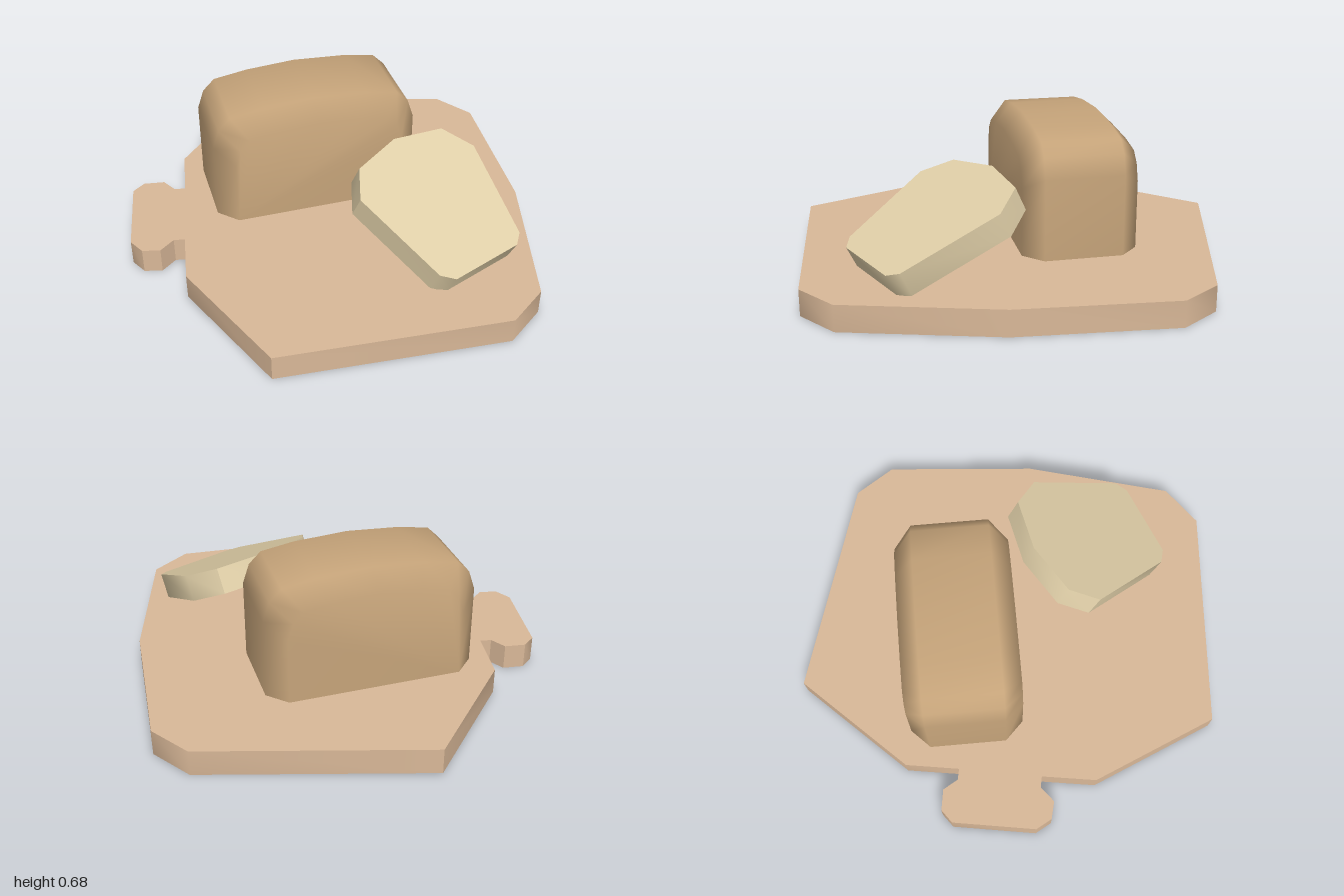
import * as THREE from 'three';
import { toCreasedNormals } from 'three/addons/utils/BufferGeometryUtils.js';

const BOARD_TOP = 0.12;

// Prism from a plan outline of [x, z] points, rising from y = 0 to y = height
function prism(outline, height) {
  const shape = new THREE.Shape(outline.map(([x, z]) => new THREE.Vector2(x, -z)));
  const geometry = new THREE.ExtrudeGeometry(shape, { depth: height, bevelEnabled: false });
  return geometry.rotateX(-Math.PI / 2);
}

function part(name, geometry, color) {
  const mesh = new THREE.Mesh(geometry, new THREE.MeshStandardMaterial({ color }));
  mesh.name = name;
  return mesh;
}

// Rough-cut board with a stubby grip on its right side
function boardGeometry() {
  const outline = [
    [-0.16, -1], [0.83, -0.7], [0.95, -0.52], [0.89, 0.19], [0.7, 0.87], [0.52, 1],
    [-0.51, 0.92], [-0.75, 0.34], [-0.71, 0.09], [-0.76, 0.08], [-0.83, 0.135],
    [-0.91, 0.115], [-0.95, 0.04], [-0.885, -0.34], [-0.825, -0.385], [-0.73, -0.37],
    [-0.69, -0.3], [-0.64, -0.29], [-0.6, -0.535],
  ];
  return toCreasedNormals(prism(outline, BOARD_TOP), Math.PI / 4);
}

// Domed loaf: one arched profile swept along z, drawn in at both ends
function loafGeometry() {
  const midX = -0.045;
  const profile = [
    [-0.525, 0.12], [-0.525, 0.49], [-0.495, 0.58], [-0.44, 0.635], [-0.28, 0.66],
    [-0.05, 0.675], [0.2, 0.66], [0.35, 0.635], [0.405, 0.58], [0.435, 0.49], [0.435, 0.12],
  ];
  const rings = [[-0.5, 0.823, 0.847], [-0.415, 1, 1], [-0.06, 1, 1], [0.025, 0.823, 0.847]];
  const n = profile.length;
  const positions = [];
  const index = [];
  for (const [z, sx, sy] of rings) {
    for (const [x, y] of profile) {
      positions.push(midX + (x - midX) * sx, BOARD_TOP + (y - BOARD_TOP) * sy, z);
    }
  }
  for (let i = 0; i < rings.length - 1; i++) {
    for (let j = 0; j < n - 1; j++) {
      const a = i * n + j, b = a + 1, c = b + n, d = a + n;
      index.push(a, c, b, a, d, c);
    }
  }
  // End caps
  const front = (rings.length - 1) * n;
  for (let j = 1; j < n - 1; j++) {
    index.push(0, j, j + 1, front, front + j + 1, front + j);
  }
  const geometry = new THREE.BufferGeometry();
  geometry.setAttribute('position', new THREE.Float32BufferAttribute(positions, 3));
  geometry.setIndex(index);
  geometry.computeVertexNormals();
  return geometry;
}

// Slice leaning back: a plan outline projected onto a tilted plane, with square-cut sides
function sliceGeometry() {
  const outline = [
    [0.02, 0.425], [0.06, 0.28], [0.27, 0.14], [0.52, 0.09], [0.65, 0.18],
    [0.71, 0.6], [0.675, 0.655], [0.335, 0.79], [0.265, 0.77],
  ];
  const geometry = prism(outline, 1);
  const p = geometry.attributes.position;
  for (let i = 0; i < p.count; i++) {
    const x = p.getX(i), z = p.getZ(i), down = 1 - p.getY(i);
    const y = 0.215 - 0.179 * (x - 0.335) - 0.451 * (z - 0.79);
    p.setXYZ(i, x - 0.02 * down, y - 0.108 * down, z - 0.049 * down);
  }
  return toCreasedNormals(geometry, Math.PI / 4);
}

export function createModel() {
  const model = new THREE.Group();
  model.name = 'breadBoard';
  model.add(
    part('board', boardGeometry(), 0xd9b898),
    part('loaf', loafGeometry(), 0xc6a47a),
    part('slice', sliceGeometry(), 0xe0cfa8),
  );
  return model;
}
